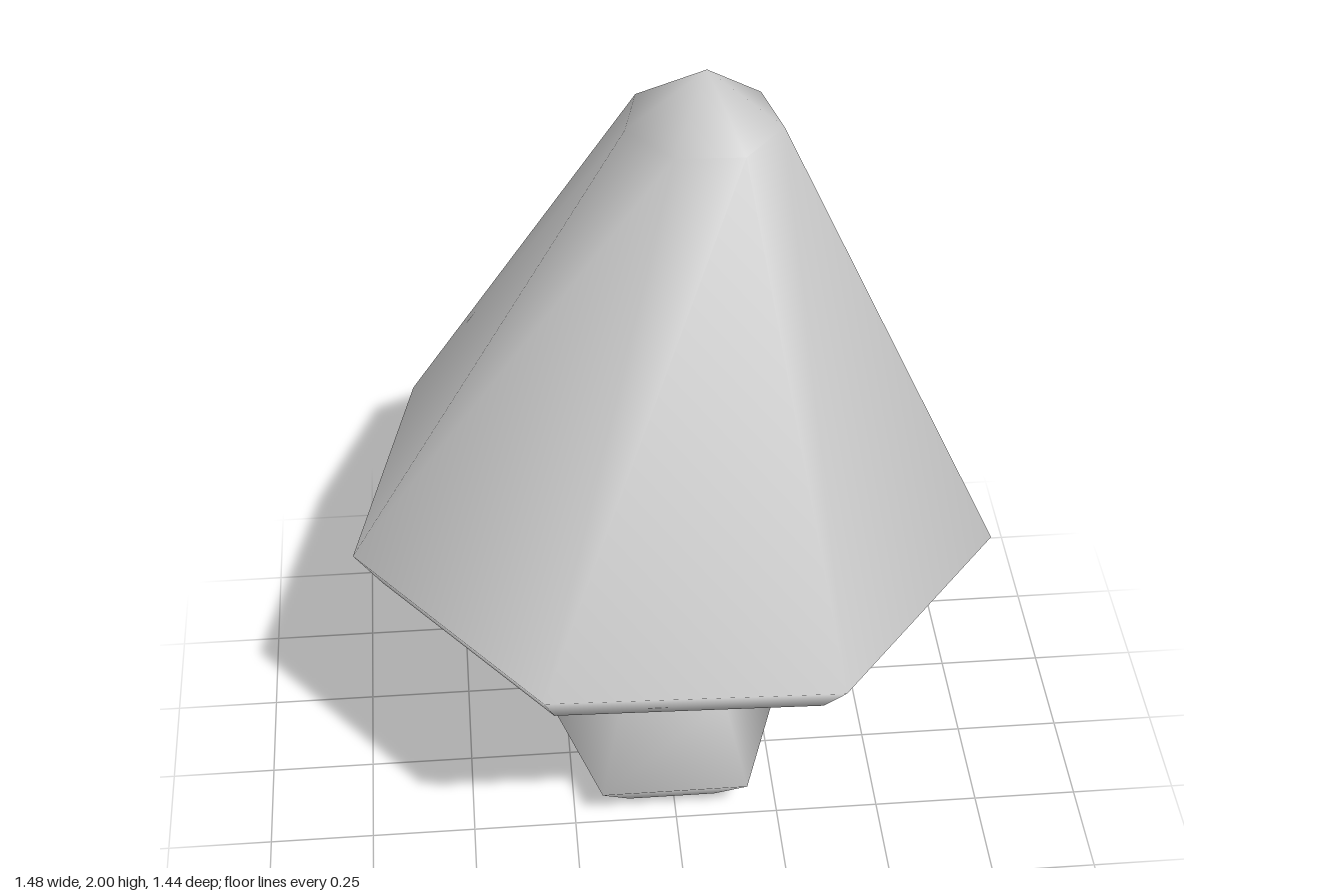
import * as THREE from 'three';

// Smooth many-sided solid from rings [x, y, z, radius, tilt], closed at both ends.
function ringSolid(sides, rings, bottom, top) {
  const pos = [];
  const index = [];
  for (const [cx, y, cz, r, tilt] of rings) {
    for (let k = 0; k < sides; k++) {
      const a = (k / sides) * Math.PI * 2;
      const x = cx + r * Math.sin(a);
      pos.push(x, y - tilt * x, cz - r * Math.cos(a));
    }
  }
  const low = rings.length * sides;
  const high = low + 1;
  pos.push(...bottom, ...top);

  const last = (rings.length - 1) * sides;
  for (let k = 0; k < sides; k++) {
    const n = (k + 1) % sides;
    index.push(low, k, n, high, last + n, last + k);
    for (let i = 0; i < last; i += sides) {
      const up = i + sides;
      index.push(i + k, up + k, i + n, i + n, up + k, up + n);
    }
  }
  const geo = new THREE.BufferGeometry();
  geo.setAttribute('position', new THREE.Float32BufferAttribute(pos, 3));
  geo.setIndex(index);
  geo.computeVertexNormals();
  return geo;
}

export function createModel() {
  const group = new THREE.Group();
  const grey = new THREE.MeshStandardMaterial({ color: 0xcccccc });
  grey.name = 'plainGrey';

  const add = (name, geometry) => {
    const mesh = new THREE.Mesh(geometry, grey);
    mesh.name = name;
    group.add(mesh);
  };

  // Seven-sided leaning cap with a bevelled rim and a blunt tip
  add('cap', ringSolid(7, [
    [-0.008, 0.74, 0.033, 0.688, 0.03],
    [0, 0.835, 0.033, 0.76, 0.033],
    [0.073, 1.88, 0.033, 0.175, 0.03],
  ], [-0.008, 0.74, 0.033], [0.08, 2, 0.035]));

  // Five-sided bulbous stem
  add('stem', ringSolid(5, [
    [-0.005, 0, 0.03, 0.182, 0],
    [-0.006, 0.12, 0.036, 0.302, 0],
    [-0.006, 0.34, 0.035, 0.215, 0],
    [-0.01, 0.78, 0.035, 0.153, 0],
  ], [-0.005, 0, 0.03], [-0.01, 0.78, 0.035]));

  return group;
}
